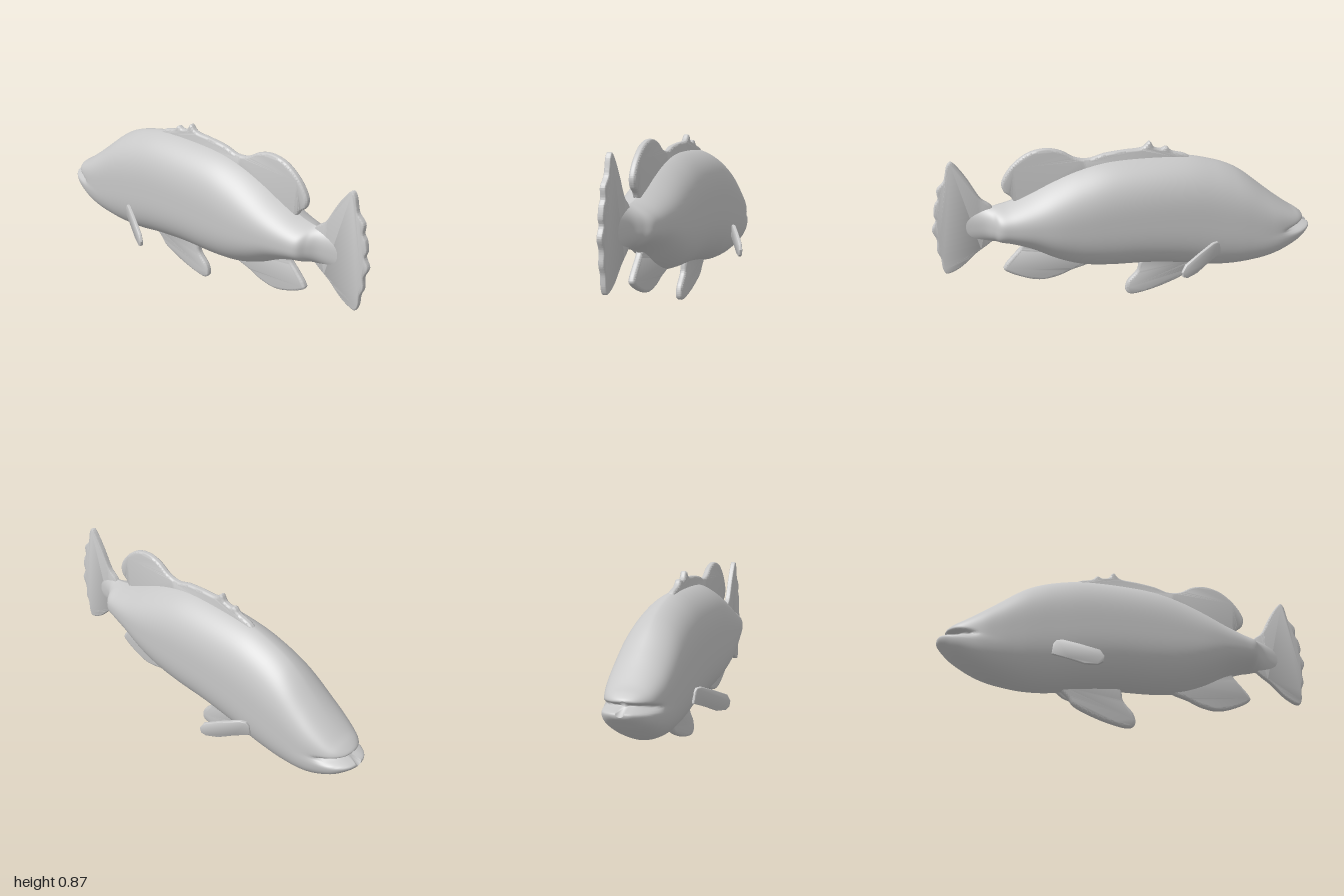
import * as THREE from 'three';
import { toCreasedNormals } from 'three/addons/utils/BufferGeometryUtils.js';

const skin = new THREE.MeshStandardMaterial({ color: 0xc8c8c8 });
skin.name = 'plain grey';

const { clamp, smoothstep } = THREE.MathUtils;

// Catmull-Rom blend of whole section rows
function sampleRow(rows, t) {
  const i = Math.min(Math.floor(t), rows.length - 2), f = t - i;
  const at = k => rows[clamp(k, 0, rows.length - 1)];
  return rows[0].map((_, c) => {
    const [a, b, d, e] = [at(i - 1)[c], at(i)[c], at(i + 1)[c], at(i + 2)[c]];
    return 0.5 * (2 * b + (d - a) * f + (2 * a - 5 * b + 4 * d - e) * f * f + (3 * b - a - 3 * d + e) * f ** 3);
  });
}

// Jutting lower jaw and the mouth slit pressed in above it
function mouth(x, y, z) {
  const line = 0.366 - 0.15 * (x + 0.96);
  const jut = 0.038 * smoothstep(line - y, -0.005, 0.02) * clamp((-0.6 - x) / 0.36, 0, 1);
  const slit = Math.exp(-(((y - line) / 0.013) ** 2)) * smoothstep(-x, 0.8, 0.93);
  return [x - jut + 0.04 * slit, y, z * (1 - 0.17 * slit)];
}

// Closed skin through sections: [x, bottom, top, half width, sharpness of back and belly]
function loft(rows, sub = 6, sides = 88) {
  const pos = [], idx = [], n = (rows.length - 1) * sub;
  for (let i = 0; i <= n; i++) {
    const [x, lo, hi, w, sharp] = sampleRow(rows, i / sub);
    for (let j = 0; j < sides; j++) {
      const a = j / sides * Math.PI * 2, t = Math.sin(a);
      const width = Math.max(0, 1 - Math.abs(t) ** (3.4 - 1.4 * sharp)) ** (0.5 + 0.7 * sharp);
      pos.push(...mouth(x, (lo + hi) / 2 + (hi - lo) / 2 * t, w * width * Math.sign(Math.cos(a))));
    }
  }
  for (let i = 0; i < n; i++) for (let j = 0; j < sides; j++) {
    const k = (j + 1) % sides, a = i * sides, b = a + sides;
    idx.push(a + j, b + j, a + k, b + j, b + k, a + k);
  }
  // End caps
  const c = pos.length / 3, end = n * sides;
  for (const r of [rows[0], rows[rows.length - 1]]) pos.push(...mouth(r[0], (r[1] + r[2]) / 2, 0));
  for (let j = 0; j < sides; j++) {
    const k = (j + 1) % sides;
    idx.push(c, j, k, c + 1, end + k, end + j);
  }
  const g = new THREE.BufferGeometry();
  g.setAttribute('position', new THREE.Float32BufferAttribute(pos, 3));
  g.setIndex(idx);
  g.computeVertexNormals();
  return g;
}

// Rounded plate centred on z = 0 with a curved outline
function fin(points, thick, bevel, smooth = true) {
  const pts = points.map(p => new THREE.Vector2(...p));
  const shape = new THREE.Shape();
  shape.moveTo(pts[0].x, pts[0].y);
  if (smooth) shape.splineThru(pts.slice(1));
  else pts.slice(1).forEach(p => shape.lineTo(p.x, p.y));
  const depth = thick - 2 * bevel;
  const g = new THREE.ExtrudeGeometry(shape, {
    depth, curveSegments: points.length * 4, bevelEnabled: true,
    bevelThickness: bevel, bevelSize: bevel, bevelOffset: -bevel, bevelSegments: 3
  });
  g.translate(0, 0, -depth / 2);
  return toCreasedNormals(g, 0.8);
}

export function createModel() {
  const fish = new THREE.Group();
  fish.name = 'fish';
  const add = (name, geometry) => {
    const m = new THREE.Mesh(geometry, skin);
    m.name = name;
    fish.add(m);
    return m;
  };

  // Head and body, running into the tail root
  add('body', loft([
    [-0.962, 0.332, 0.392, 0.02, 0], [-0.953, 0.317, 0.404, 0.056, 0], [-0.925, 0.289, 0.425, 0.092, 0],
    [-0.88, 0.25, 0.453, 0.12, 0], [-0.8, 0.198, 0.513, 0.144, 0.05], [-0.72, 0.163, 0.578, 0.154, 0.1],
    [-0.62, 0.142, 0.66, 0.159, 0.15], [-0.54, 0.136, 0.71, 0.161, 0.2], [-0.44, 0.143, 0.748, 0.162, 0.2],
    [-0.3, 0.168, 0.78, 0.164, 0.22], [-0.1, 0.192, 0.792, 0.166, 0.25], [0.1, 0.2, 0.787, 0.167, 0.3],
    [0.25, 0.218, 0.757, 0.166, 0.4], [0.38, 0.265, 0.71, 0.161, 0.5], [0.5, 0.33, 0.655, 0.146, 0.6],
    [0.6, 0.372, 0.613, 0.128, 0.6], [0.66, 0.388, 0.598, 0.113, 0.6], [0.695, 0.397, 0.594, 0.075, 0.6],
    [0.74, 0.4, 0.59, 0.04, 0.6], [0.82, 0.41, 0.57, 0.017, 0.6], [0.88, 0.44, 0.54, 0.008, 0.6]
  ]));

  // Fins on the centre line
  add('dorsalFin', fin([
    [-0.34, 0.755], [-0.3, 0.79], [-0.23, 0.812], [-0.2, 0.838], [-0.17, 0.83], [-0.135, 0.84],
    [-0.11, 0.872], [-0.07, 0.842], [0.02, 0.836], [0.12, 0.826], [0.2, 0.806], [0.27, 0.818],
    [0.34, 0.859], [0.42, 0.876], [0.51, 0.856], [0.59, 0.795], [0.638, 0.72], [0.632, 0.668],
    [0.602, 0.64], [0.585, 0.61], [0.55, 0.55], [0.4, 0.6], [0.2, 0.66], [-0.1, 0.69]
  ], 0.036, 0.013));
  add('analFin', fin([
    [0.16, 0.25], [0.22, 0.213], [0.3, 0.19], [0.38, 0.16], [0.47, 0.15], [0.56, 0.175],
    [0.648, 0.222], [0.648, 0.255], [0.605, 0.305], [0.56, 0.355], [0.55, 0.41], [0.4, 0.4], [0.25, 0.33]
  ], 0.036, 0.013));
  add('pelvicFin', fin([
    [-0.4, 0.18], [-0.34, 0.125], [-0.3, 0.082], [-0.2, 0.04], [-0.1, 0.012], [-0.02, 0.002],
    [0.013, 0.026], [0.002, 0.08], [-0.05, 0.14], [-0.065, 0.2], [-0.12, 0.26], [-0.3, 0.25]
  ], 0.038, 0.014));
  add('tailFin', fin([
    [0.66, 0.54], [0.7, 0.6], [0.75, 0.645], [0.8, 0.74], [0.84, 0.805], [0.875, 0.844], [0.897, 0.825],
    [0.91, 0.775], [0.92, 0.745], [0.955, 0.705], [0.955, 0.655], [0.972, 0.625], [0.982, 0.575],
    [0.975, 0.54], [0.997, 0.49], [0.978, 0.435], [0.982, 0.375], [0.967, 0.33], [0.962, 0.27],
    [0.94, 0.24], [0.87, 0.27], [0.79, 0.34], [0.73, 0.382], [0.68, 0.42]
  ], 0.03, 0.01));

  // Paired side fins, spreading backwards
  const sideFin = fin([
    [0.002, 0.335], [0.018, 0.352], [0.05, 0.353], [0.14, 0.322], [0.235, 0.285], [0.257, 0.25],
    [0.25, 0.222], [0.225, 0.209], [0.16, 0.216], [0.08, 0.25], [-0.005, 0.28]
  ], 0.018, 0.005, false);
  for (const s of [1, -1]) {
    const m = add(s > 0 ? 'leftPectoralFin' : 'rightPectoralFin', sideFin);
    m.position.set(-0.455, 0, s * 0.157);
    m.rotation.y = -s * 0.46;
  }
  return fish;
}
